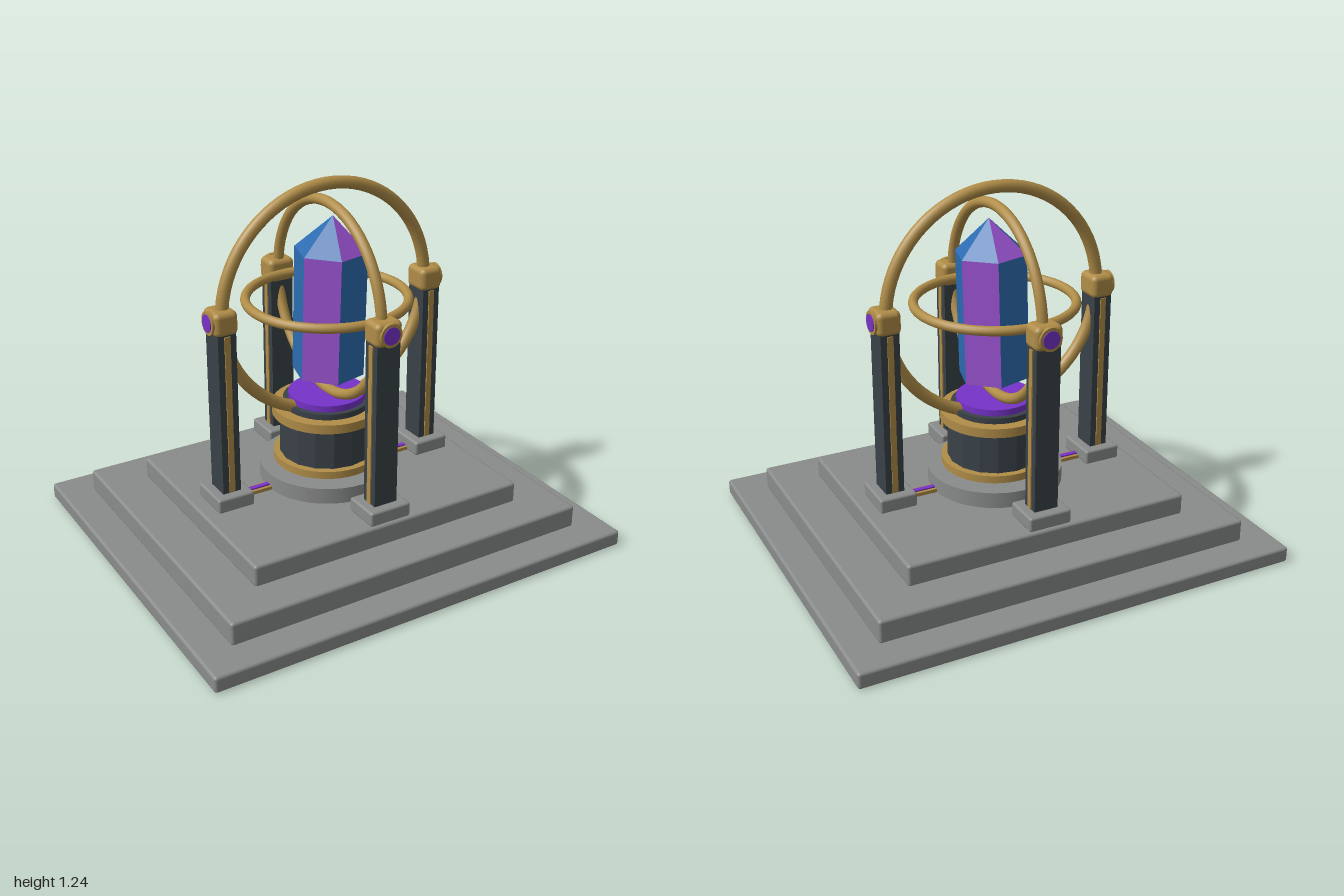
import * as THREE from 'three';
import { RoundedBoxGeometry } from 'three/addons/geometries/RoundedBoxGeometry.js';

const mat = (name, color) => {
  const m = new THREE.MeshStandardMaterial({ color });
  m.name = name;
  return m;
};

export function createModel() {
  const stone = mat('grey stone', 0x8a8c8b);
  const iron = mat('dark iron', 0x3a4248);
  const brass = mat('brass', 0xb08d48);
  const glow = mat('violet glow', 0x7632c8);
  const violet = mat('violet crystal', 0x9a52d0);
  const blue = mat('blue crystal', 0x2c6cb0);

  const model = new THREE.Group();
  const rad = THREE.MathUtils.degToRad;
  const add = (parent, name, geometry, material, x = 0, y = 0, z = 0) => {
    const mesh = new THREE.Mesh(geometry, material);
    mesh.name = name;
    mesh.position.set(x, y, z);
    parent.add(mesh);
    return mesh;
  };
  const block = (w, h, d, r) => new RoundedBoxGeometry(w, h, d, 2, r);
  const disc = (r, h, sides = 40) => new THREE.CylinderGeometry(r, r, h, sides);

  // Stepped oblong platform, turned on its corner
  const platform = new THREE.Group();
  platform.name = 'platform';
  platform.rotation.y = Math.PI / 4;
  model.add(platform);
  [[1.53, 1.305, 0, 0.055], [1.306, 1.084, 0.05, 0.13], [1.002, 0.816, 0.125, 0.2]].forEach(([w, d, y0, y1], i) => {
    add(platform, 'step' + (i + 1), block(w, y1 - y0, d, 0.01), stone, 0, (y0 + y1) / 2, 0);
  });

  // Round pedestal with flat brass bands
  const pedestal = new THREE.Group();
  pedestal.name = 'pedestal';
  model.add(pedestal);
  add(pedestal, 'pedestalFoot', disc(0.23, 0.055), stone, 0, 0.2275, 0);
  const drum = disc(0.161, 0.2, 16).toNonIndexed();
  drum.computeVertexNormals();
  add(pedestal, 'pedestalDrum', drum, iron, 0, 0.345, 0);
  add(pedestal, 'lowerBand', disc(0.182, 0.026), brass, 0, 0.279, 0);
  add(pedestal, 'upperBand', disc(0.186, 0.032), brass, 0, 0.45, 0);
  add(pedestal, 'pedestalCollar', disc(0.148, 0.024), iron, 0, 0.474, 0);
  add(pedestal, 'glowDisc', disc(0.13, 0.024), glow, 0, 0.496, 0);

  // Four posts: one diagonal pair stands farther out
  for (let i = 0; i < 4; i++) {
    const angle = rad(45 + i * 90);
    const r = i % 2 ? 0.387 : 0.333;
    const post = new THREE.Group();
    post.name = 'post' + (i + 1);
    post.rotation.y = angle;
    model.add(post);
    add(post, 'postFoot', block(0.15, 0.05, 0.13, 0.008), stone, 0, 0.223, r);
    add(post, 'postShaft', new THREE.BoxGeometry(0.084, 0.57, 0.064), iron, 0, 0.53, r);
    for (const side of [-1, 1]) {
      add(post, 'postInlay', new THREE.BoxGeometry(0.008, 0.55, 0.02), brass, side * 0.042, 0.525, r);
    }
    add(post, 'postCap', block(0.096, 0.08, 0.082, 0.018), brass, 0, 0.84, r);
    const rim = add(post, 'capRim', disc(0.039, 0.012, 24), brass, 0, 0.84, r + 0.041);
    const gem = add(post, 'capGem', disc(0.029, 0.008, 24), glow, 0, 0.84, r + 0.046);
    rim.rotation.x = gem.rotation.x = Math.PI / 2;

    // Glowing channel from the pedestal to the post
    add(post, 'channelBed', new THREE.BoxGeometry(0.04, 0.014, 0.14), brass, 0, 0.205, 0.26);
    add(post, 'channelGlow', new THREE.BoxGeometry(0.018, 0.006, 0.14), glow, 0, 0.2135, 0.26);
  }

  // Three nested rings
  const ring = (name, r, t, rx, ry) => {
    const mesh = add(model, name, new THREE.TorusGeometry(r, t, 14, 72), brass, 0, 0.84, 0);
    mesh.rotation.set(rx, ry, 0);
  };
  ring('outerRing', 0.383, 0.021, 0, Math.PI / 4);
  ring('innerRing', 0.324, 0.018, 0, -Math.PI / 4);
  ring('levelRing', 0.266, 0.016, Math.PI / 2, 0);

  // Six-sided crystal with two colours of facet, leaning slightly
  const crystal = new THREE.Group();
  crystal.name = 'crystal';
  crystal.position.set(0.003, 0.58, 0);
  crystal.rotation.z = -0.025;
  model.add(crystal);
  const corner = (k, y) => {
    const a = rad(60 * k - 30);
    return [Math.sin(a) * 0.122, y, Math.cos(a) * 0.122];
  };
  const facet = (name, points, material) => {
    const g = new THREE.BufferGeometry();
    g.setAttribute('position', new THREE.Float32BufferAttribute(points.flat(), 3));
    g.computeVertexNormals();
    add(crystal, name, g, material);
  };
  for (let k = 0; k < 6; k++) {
    const a = corner(k, 0), b = corner(k + 1, 0);
    const c = corner(k + 1, 0.425), d = corner(k, 0.425);
    facet('crystalSide', [a, b, c, a, c, d], k % 3 === 0 ? violet : blue);
    facet('crystalTip', [d, c, [0.003, 0.54, 0]], k % 3 === 1 ? violet : blue);
    facet('crystalBase', [b, a, [0, 0, 0]], blue);
  }
  return model;
}
